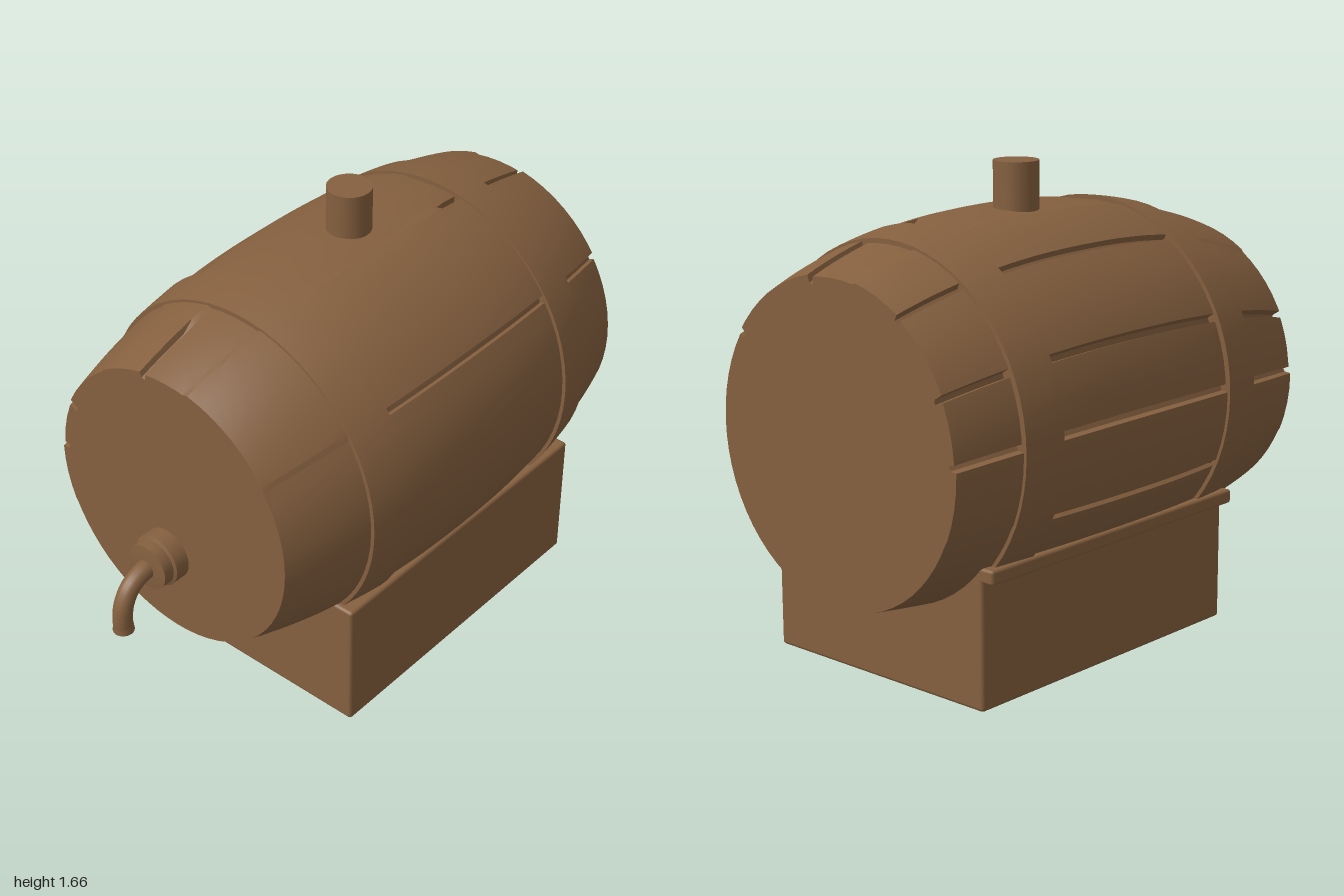
import * as THREE from 'three';
import { toCreasedNormals } from 'three/addons/utils/BufferGeometryUtils.js';
import { RoundedBoxGeometry } from 'three/addons/geometries/RoundedBoxGeometry.js';

const X0 = -0.74, X1 = 1, MID = 0.13;

// Grooves between staves: angle about the axis (0 = front, PI/2 = top), start x, end x, depth
const grooves = [
  [0.61, -0.3, 1, 0.022],
  [1.39, 0.5, 1, 0.025],
  [1.76, -0.74, -0.5, 0.02],
  [2.16, -0.3, 1, 0.02],
  [2.7, -0.74, 1, 0.035],
  [3.1, -0.74, 1, 0.025],
  [3.55, -0.3, 0.7, 0.015],
];
// Small height differences between neighbouring staves
const staveOffsets = [0, 0.006, -0.002, 0.005, 0, -0.005, 0.003, 0];
const HALF = 0.022;

// Bulging barrel profile and the gentle drift of its axis
const bulge = (x) => Math.pow(Math.abs(x - MID) / 0.87, 2.3);
const radius = (x) => 0.632 - (x < MID ? 0.122 : 0.095) * bulge(x);

function barrelPoint(x, a, r) {
  const b = bulge(x);
  return [x, 0.873 - 0.03 * b + r * Math.sin(a), -0.03 * b + r * 0.975 * Math.cos(a)];
}

function staveRadius(x, a) {
  let i = 0;
  while (i < grooves.length && a > grooves[i][0]) i++;
  let r = radius(x) + staveOffsets[i];
  for (const [g, x0, x1, depth] of grooves) {
    if (x >= x0 - 1e-6 && x <= x1 + 1e-6 && Math.abs(a - g) < HALF * 0.8) r -= depth;
  }
  return r;
}

// Closed surface around the barrel axis; each row is [x, function of angle giving the radius]
function loft(rows, angles) {
  const pos = [];
  const n = angles.length;
  const pts = rows.map(([x, f]) => angles.map((a) => barrelPoint(x, a, f(a))));
  for (let i = 0; i < rows.length - 1; i++) {
    for (let j = 0; j < n; j++) {
      const k = (j + 1) % n;
      const a = pts[i][j], b = pts[i + 1][j], c = pts[i + 1][k], d = pts[i][k];
      if (i < rows.length - 2 || rows[i + 1][1](0) > 0) pos.push(...a, ...b, ...c);
      else pos.push(...a, ...b, ...d);
      if (rows[i][1](0) > 0 && rows[i + 1][1](0) > 0) pos.push(...a, ...c, ...d);
    }
  }
  const geo = new THREE.BufferGeometry();
  geo.setAttribute('position', new THREE.Float32BufferAttribute(pos, 3));
  return toCreasedNormals(geo, 0.6);
}

export function createModel() {
  const group = new THREE.Group();
  const wood = new THREE.MeshStandardMaterial({ color: 0x85603f });
  wood.name = 'brown wood';
  const add = (name, geo, x = 0, y = 0, z = 0) => {
    const mesh = new THREE.Mesh(geo, wood);
    mesh.name = name;
    mesh.position.set(x, y, z);
    group.add(mesh);
    return mesh;
  };

  // Barrel body with flat heads and stave grooves
  const even = Array.from({ length: 64 }, (_, i) => (i / 64) * Math.PI * 2);
  const angles = even.filter((a) => grooves.every(([g]) => Math.abs(a - g) > HALF * 1.5));
  for (const [g] of grooves) {
    angles.push(g - HALF, g - HALF * 0.7, g + HALF * 0.7, g + HALF);
  }
  angles.sort((p, q) => p - q);
  const rows = [[X0, () => 0]];
  const steps = 36;
  for (let i = 0; i <= steps; i++) {
    const x = X0 + ((X1 - X0) * i) / steps;
    rows.push([x, (a) => staveRadius(x, a)]);
  }
  rows.push([X1, () => 0]);
  add('barrelBody', loft(rows, angles));

  // Two hoops
  for (const [name, x0, x1] of [['rightHoop', -0.43, -0.27], ['leftHoop', 0.58, 0.74]]) {
    const hoopRows = [[x0, () => radius(x0) - 0.03]];
    for (let i = 0; i <= 4; i++) {
      const x = x0 + ((x1 - x0) * i) / 4;
      hoopRows.push([x, () => radius(x) + 0.014]);
    }
    hoopRows.push([x1, () => radius(x1) - 0.03]);
    add(name, loft(hoopRows, even));
  }

  // Stand and the rail along its back edge
  add('stand', new RoundedBoxGeometry(1.23, 0.49, 0.95, 2, 0.012), 0.165, 0.245, 0.025);
  add('standRail', new RoundedBoxGeometry(1.23, 0.05, 0.08, 1, 0.01), 0.165, 0.455, -0.455);

  // Bung on top
  add('bung', new THREE.CylinderGeometry(0.078, 0.078, 0.26, 32), 0.155, 1.53, -0.028);

  // Tap: stepped collar and curved spout
  const collar = [[0, -0.04], [0.095, -0.04], [0.095, 0.055], [0.084, 0.06], [0.084, 0.1], [0.045, 0.105], [0, 0.105]];
  const collarGeo = new THREE.LatheGeometry(collar.map(([r, h]) => new THREE.Vector2(r, h)), 32);
  add('tapCollar', toCreasedNormals(collarGeo, 0.6), X0, 0.643, -0.055).rotation.z = Math.PI / 2;

  const path = new THREE.CatmullRomCurve3([
    [-0.8, 0.638], [-0.865, 0.636], [-0.92, 0.61], [-0.955, 0.555], [-0.964, 0.5], [-0.964, 0.46],
  ].map(([x, y]) => new THREE.Vector3(x, y, -0.055)));
  add('tapSpout', new THREE.TubeGeometry(path, 24, 0.034, 16));
  add('spoutLip', new THREE.CylinderGeometry(0.034, 0.037, 0.03, 16), -0.963, 0.468, -0.055);

  return group;
}
